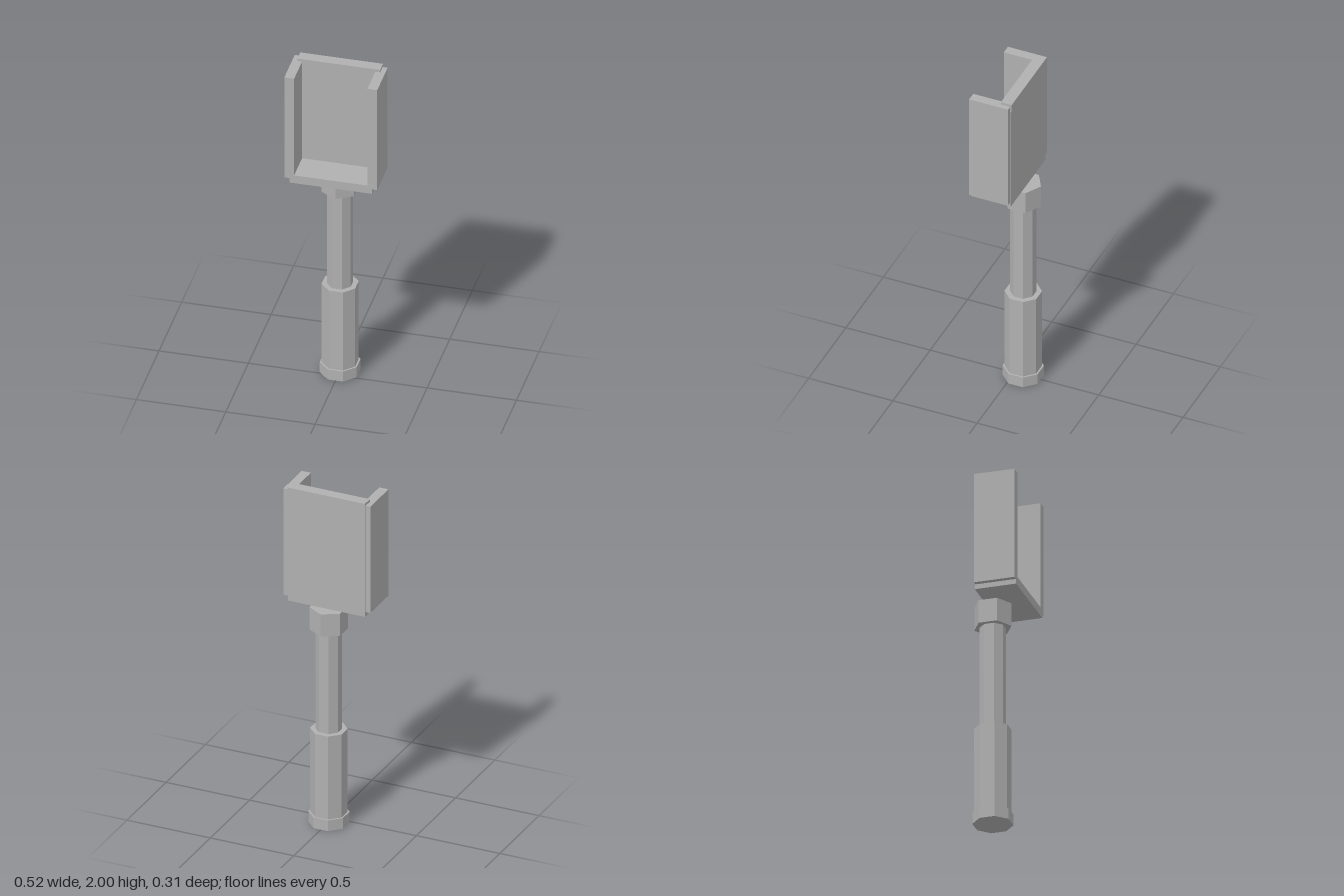
import * as THREE from 'three';

export function createModel() {
  const model = new THREE.Group();
  const grey = new THREE.MeshStandardMaterial({ color: 0xb0b0b0, flatShading: true });
  grey.name = 'plain grey';

  const add = (name, geometry, x, y, z) => {
    const mesh = new THREE.Mesh(geometry, grey);
    mesh.name = name;
    mesh.position.set(x, y, z);
    model.add(mesh);
    return mesh;
  };

  // Box given by its extents
  const box = (name, x0, x1, y0, y1, z0, z1) =>
    add(name, new THREE.BoxGeometry(x1 - x0, y1 - y0, z1 - z0),
      (x0 + x1) / 2, (y0 + y1) / 2, (z0 + z1) / 2);

  // Upright prism on the handle axis; turned prisms face forward with a flat
  const prism = (name, sides, radius, y0, y1, turned) => {
    const mesh = add(name, new THREE.CylinderGeometry(radius, radius, y1 - y0, sides),
      0, (y0 + y1) / 2, -0.052);
    if (turned) mesh.rotation.y = Math.PI / sides;
  };

  // Handle, from the butt upwards
  prism('pommel', 8, 0.112, 0, 0.065, true);
  prism('grip', 8, 0.102, 0.065, 0.57, true);
  prism('shaft', 8, 0.072, 0.57, 1.175, true);
  prism('collar', 6, 0.105, 1.175, 1.31, false);

  // Open tray head
  box('backPlate', -0.23, 0.23, 1.31, 1.95, -0.081, -0.022);
  box('topRail', -0.232, 0.232, 1.95, 2, -0.086, -0.022);
  box('bottomShelf', -0.232, 0.232, 1.31, 1.36, -0.077, 0.155);
  for (const side of [-1, 1]) {
    const inner = side * 0.205, outer = side * 0.26;
    box(side > 0 ? 'leftWall' : 'rightWall',
      Math.min(inner, outer), Math.max(inner, outer), 1.338, 1.985, -0.077, 0.154);
  }
  return model;
}
